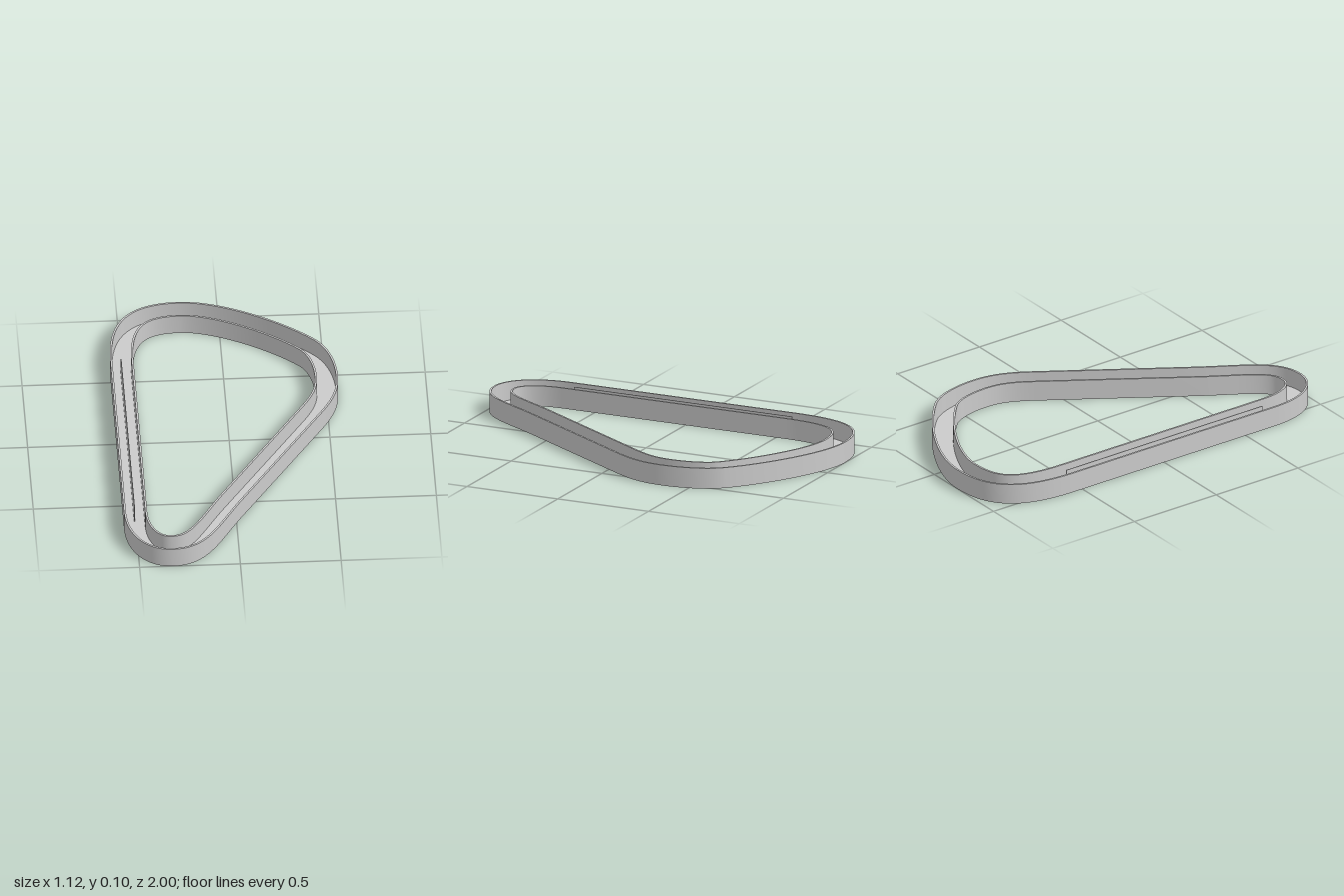
import * as THREE from 'three';

const HEIGHT = 0.105, WIDTH = 0.115, WALL = 0.01;

// Outer outline on the ground plane, as (x, z)
function outlineSamples() {
  const s = new THREE.Shape();
  s.moveTo(-0.56, 0.68);
  s.bezierCurveTo(-0.56, 0.88, -0.46, 1, -0.335, 1);
  s.bezierCurveTo(-0.16, 1, -0.10, 0.83, 0.02, 0.635);
  s.lineTo(0.46, -0.06);
  s.bezierCurveTo(0.53, -0.17, 0.56, -0.25, 0.56, -0.36);
  s.bezierCurveTo(0.56, -0.46, 0.535, -0.585, 0.465, -0.66);
  s.bezierCurveTo(0.33, -0.80, 0.02, -1, -0.195, -1);
  s.bezierCurveTo(-0.45, -1, -0.56, -0.86, -0.56, -0.55);
  s.lineTo(-0.56, 0.68);
  const samples = [];
  for (const curve of s.curves) {
    const n = curve.isLineCurve ? 4 : 28;
    for (let i = 0; i < n; i++) {
      const p = curve.getPoint(i / n), t = curve.getTangent(i / n);
      samples.push({ p, inward: new THREE.Vector2(t.y, -t.x) });
    }
  }
  return samples;
}

// Sweep a profile of (inset, y) points round the outline: sharp between
// profile segments, smooth along the path
function sweep(samples, profile) {
  const pos = [], index = [], n = samples.length;
  for (let j = 0; j < profile.length - 1; j++) {
    const base = pos.length / 3;
    for (const { p, inward } of samples) {
      for (const [inset, y] of [profile[j], profile[j + 1]]) {
        pos.push(p.x + inward.x * inset, y, p.y + inward.y * inset);
      }
    }
    for (let i = 0; i < n; i++) {
      const a = base + 2 * i, b = base + 2 * ((i + 1) % n);
      index.push(a, b, a + 1, b, b + 1, a + 1);
    }
  }
  const g = new THREE.BufferGeometry();
  g.setAttribute('position', new THREE.Float32BufferAttribute(pos, 3));
  g.setIndex(index);
  g.computeVertexNormals();
  return g;
}

export function createModel() {
  const group = new THREE.Group();
  const material = new THREE.MeshStandardMaterial({ color: 0xcccccc });
  const samples = outlineSamples();
  const add = (name, geometry) => {
    const mesh = new THREE.Mesh(geometry, material);
    mesh.name = name;
    group.add(mesh);
    return mesh;
  };

  // Open-topped channel
  const inner = WIDTH - WALL;
  add('outerWall', sweep(samples, [[0, 0], [0, HEIGHT], [WALL, HEIGHT], [WALL, WALL]]));
  add('channelFloor', sweep(samples, [[WALL, WALL], [inner, WALL]]));
  add('innerWall', sweep(samples, [[inner, WALL], [inner, HEIGHT], [WIDTH, HEIGHT], [WIDTH, 0]]));
  add('underside', sweep(samples, [[WIDTH, 0], [0, 0]]));

  // Thin rib standing in the straight run
  const ribHeight = 0.09;
  add('rib', new THREE.BoxGeometry(0.004, ribHeight, 1.2))
    .position.set(-0.505, WALL + ribHeight / 2, 0.04);

  return group;
}
